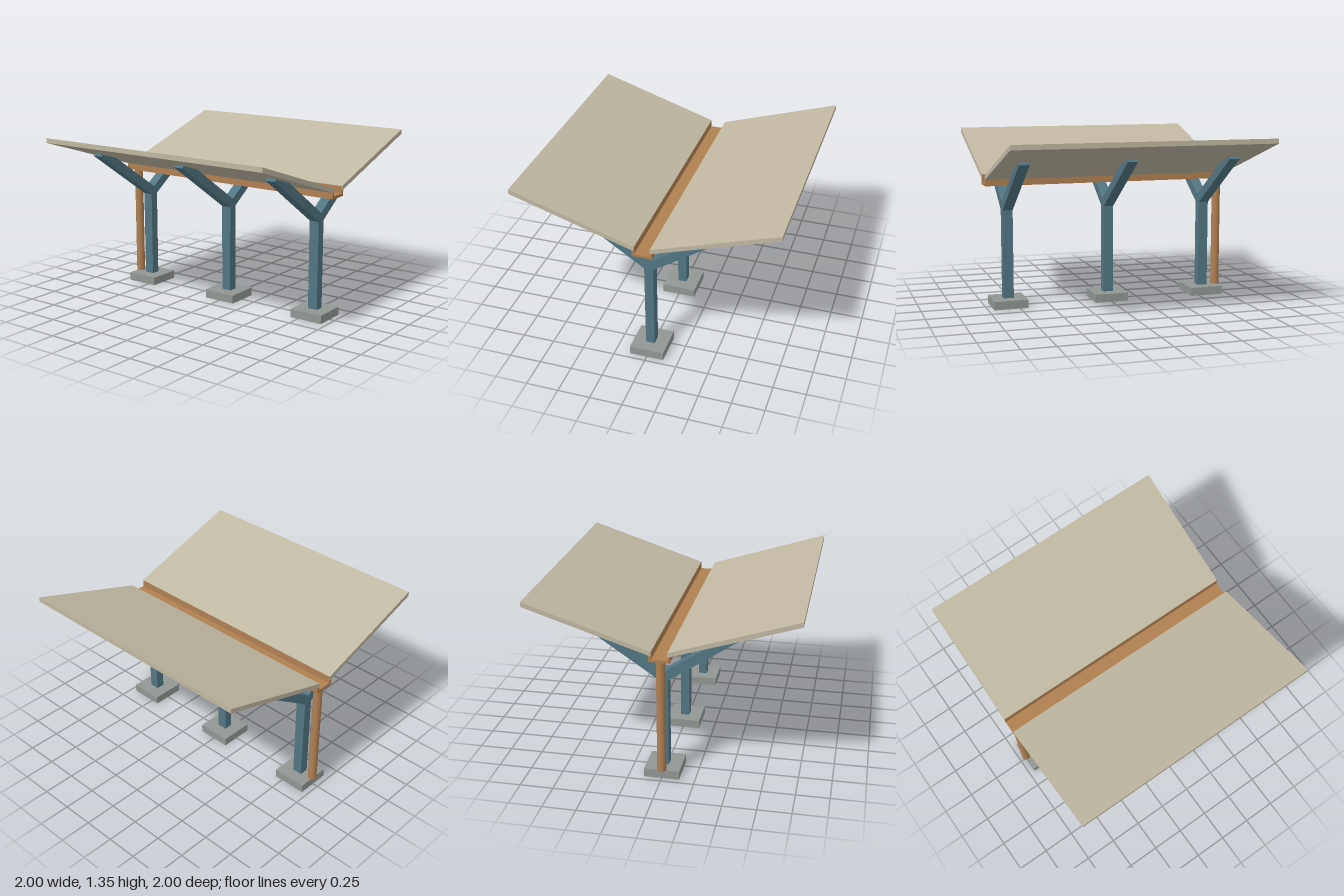
import * as THREE from 'three';

const mat = (name, color) => Object.assign(new THREE.MeshStandardMaterial({ color }), { name });

// Extrude an outline in the x-y plane along z, centred on z = 0
function prism(points, depth) {
  const shape = new THREE.Shape(points.map(([x, y]) => new THREE.Vector2(x, y)));
  const geo = new THREE.ExtrudeGeometry(shape, { depth, bevelEnabled: false });
  return geo.translate(0, 0, -depth / 2);
}

// Right half of an outline plus its mirror image
const mirrored = (half) => [...half, ...half.map(([x, y]) => [-x, y]).reverse()];

export function createModel() {
  const model = new THREE.Group();
  model.name = 'butterflyShelter';

  const roofMat = mat('roofBeige', 0xc0b8a2);
  const steelMat = mat('steelBlue', 0x527684);
  const copperMat = mat('copperBrown', 0xb08052);
  const concreteMat = mat('concreteGrey', 0x929793);

  const add = (name, geo, material, x = 0, y = 0, z = 0, parent = model) => {
    const mesh = new THREE.Mesh(geo, material);
    mesh.name = name;
    mesh.position.set(x, y, z);
    parent.add(mesh);
    return mesh;
  };

  // Two sloping roof panels with upright edges
  for (const s of [1, -1]) {
    const outline = [[0.06, 1.005], [1, 1.308], [1, 1.345], [0.06, 1.04]];
    add(s > 0 ? 'leftRoofPanel' : 'rightRoofPanel',
      prism(outline.map(([x, y]) => [s * x, y]), 2), roofMat);
  }

  // Open U-shaped valley gutter
  const gutter = mirrored([[0.077, 0.96], [0.077, 1.03], [0.058, 1.036], [0.058, 0.981]]);
  add('gutter', prism(gutter, 1.998), copperMat);

  // Downpipe at the back end of the gutter
  add('downpipe', new THREE.CylinderGeometry(0.034, 0.034, 0.9, 20), copperMat, 0, 0.515, -0.945);

  // Y-shaped frames, each on a concrete footing
  const yOutline = [
    ...mirrored([[0.035, 0.06], [0.035, 0.762], [0.635, 1.169], [0.622, 1.19], [0.535, 1.186]]),
  ];
  yOutline.splice(5, 0, [0, 0.825]);
  const frameGeo = prism(yOutline, 0.08);
  const footingGeo = new THREE.BoxGeometry(0.266, 0.066, 0.27);
  for (const z of [0.82, 0, -0.82]) {
    const support = new THREE.Group();
    support.name = 'support';
    support.position.z = z;
    model.add(support);
    add('yFrame', frameGeo, steelMat, 0, 0, 0, support);
    add('footing', footingGeo, concreteMat, 0, 0.033, 0, support);
  }

  return model;
}
